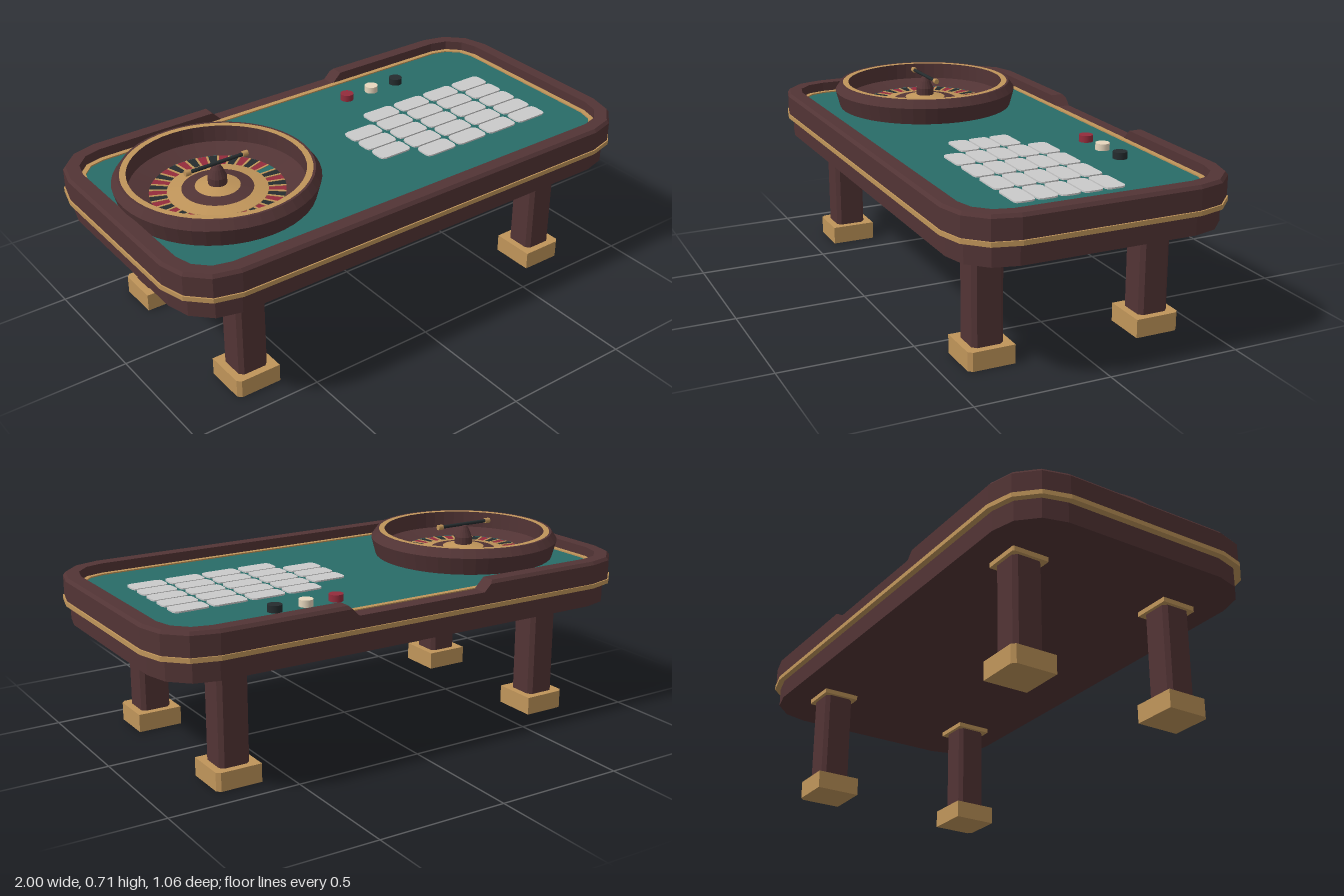
import * as THREE from 'three';
import { mergeGeometries } from 'three/addons/utils/BufferGeometryUtils.js';

const mat = (name, color) => Object.assign(new THREE.MeshStandardMaterial({ color }), { name });
const wood = mat('darkWood', 0x523435), gold = mat('gold', 0xc0955a), felt = mat('felt', 0x286c68);
const red = mat('red', 0x942c3c), black = mat('black', 0x252c2e), cream = mat('cream', 0xf0dfc5);
const grey = mat('betGrey', 0xcacaca);

const FELT_Y = 0.58; // height of the playing surface

// Corner-rounded rectangle, counter-clockwise from the corner at +x, -y
function outline(hx, hy, r, seg = 3) {
  const pts = [];
  [[1, -1], [1, 1], [-1, 1], [-1, -1]].forEach(([sx, sy], c) => {
    for (let i = 0; i <= seg; i++) {
      const a = (c - 1 + i / seg) * Math.PI / 2;
      pts.push(new THREE.Vector2(sx * (hx - r) + r * Math.cos(a), sy * (hy - r) + r * Math.sin(a)));
    }
  });
  return pts;
}

// Upright extrusion of a plan shape between two heights
function extrudeUp(shape, y0, y1) {
  const g = new THREE.ExtrudeGeometry(shape, { depth: y1 - y0, bevelEnabled: false });
  return g.rotateX(-Math.PI / 2).translate(0, y0, 0);
}

// Flat slab between two heights, with an optional inner opening
function slab(hx, hz, r, y0, y1, { seg = 3, hole = null } = {}) {
  const shape = new THREE.Shape(outline(hx, hz, r, seg));
  if (hole) shape.holes.push(new THREE.Path(outline(...hole, seg)));
  return extrudeUp(shape, y0, y1);
}

// Square block with only its outer corner cut; sx and sz give that corner's side
function cornerBlock(h, cut, sx, sz, y0, y1) {
  const pts = [[-h, -h], [h, -h], [h, h - cut], [h - cut, h], [-h, h]]
    .map(([x, z]) => new THREE.Vector2(sx * x, -sz * z));
  return extrudeUp(new THREE.Shape(pts), y0, y1);
}

// Faceted turned part from [radius, height] points
function turned(points, seg = 48) {
  const g = new THREE.LatheGeometry(points.map(p => new THREE.Vector2(...p)), seg).toNonIndexed();
  g.computeVertexNormals();
  return g;
}

// Raised rail swept round the table, with a sloped opening at the back for the dealer
function railGeometry(hx, hz, r) {
  const section = [[0, 0.535], [0, FELT_Y], [0, 0.608], [0.01, 0.62], [0.06, 0.62], [0.06, FELT_Y], [0.06, 0.535]];
  const loops = section.map(([d, y]) => {
    const gap = 0.27 + Math.max(0, y - FELT_Y);
    const path = outline(hx - d, hz - d, r - d).map(p => [p.x, y, p.y]);
    return [[gap, y, d - hz], ...path, [-gap, y, d - hz]];
  });
  const pos = [], n = section.length, last = loops[0].length - 1;
  const tri = (a, b, c) => pos.push(...a, ...b, ...c);
  for (let j = 0; j < n; j++) {
    const A = loops[j], B = loops[(j + 1) % n];
    for (let i = 0; i < last; i++) {
      tri(A[i], B[i], B[i + 1]);
      tri(A[i], B[i + 1], A[i + 1]);
    }
  }
  // Sloped end faces
  for (let k = 2; k < n - 2; k++) {
    tri(loops[1][0], loops[k + 1][0], loops[k][0]);
    tri(loops[1][last], loops[k][last], loops[k + 1][last]);
  }
  const g = new THREE.BufferGeometry();
  g.setAttribute('position', new THREE.Float32BufferAttribute(pos, 3));
  g.computeVertexNormals();
  return g;
}

function add(parent, name, geometry, material, x = 0, y = 0, z = 0) {
  const m = new THREE.Mesh(geometry, material);
  m.name = name;
  m.position.set(x, y, z);
  parent.add(m);
}

function group(parent, name, x = 0, y = 0, z = 0) {
  const g = new THREE.Group();
  g.name = name;
  g.position.set(x, y, z);
  parent.add(g);
  return g;
}

function buildWheel(parent) {
  const wheel = group(parent, 'wheel', -0.572, 0, 0);
  // Bowl
  add(wheel, 'bowlOutside', turned([[0.355, 0.575], [0.374, 0.646], [0.352, 0.677], [0.343, 0.677]]), wood);
  add(wheel, 'bowlRim', turned([[0.343, 0.677], [0.32, 0.677]]), gold);
  add(wheel, 'bowlInside', turned([[0.32, 0.677], [0.32, 0.612], [0.246, 0.59]]), wood);

  // Pockets: one green, the rest alternating, with flat gold dividers
  const count = 37, step = Math.PI * 2 / count;
  const sets = { red: [], black: [], green: [] }, dividers = [];
  for (let i = 0; i < count; i++) {
    const key = i === 0 ? 'green' : i % 2 ? 'red' : 'black';
    sets[key].push(new THREE.RingGeometry(0.18, 0.248, 2, 1, i * step, step)
      .rotateX(-Math.PI / 2).translate(0, 0.588, 0));
    dividers.push(new THREE.BoxGeometry(0.064, 0.004, 0.008).translate(0.214, 0.588, 0).rotateY(i * step));
  }
  add(wheel, 'redPockets', mergeGeometries(sets.red), red);
  add(wheel, 'blackPockets', mergeGeometries(sets.black), black);
  add(wheel, 'greenPocket', mergeGeometries(sets.green), felt);
  add(wheel, 'pocketDividers', mergeGeometries(dividers), gold);

  // Rotor cone and turret
  add(wheel, 'rotorOuterRing', turned([[0.184, 0.582], [0.182, 0.59], [0.13, 0.598]]), gold);
  add(wheel, 'rotorMiddleRing', turned([[0.13, 0.598], [0.082, 0.607]]), wood);
  add(wheel, 'rotorInnerRing', turned([[0.082, 0.607], [0.03, 0.618]]), gold);
  add(wheel, 'turret', turned([[0.035, 0.605], [0.035, 0.645], [0.022, 0.675], [0.013, 0.69], [0, 0.694]], 16), wood);

  // Handle bar with gold tips
  add(wheel, 'handleBar', new THREE.CylinderGeometry(0.007, 0.007, 0.24, 8).rotateZ(Math.PI / 2), black, 0, 0.696, 0);
  for (const s of [-1, 1]) {
    add(wheel, 'handleTip', new THREE.CylinderGeometry(0.011, 0.011, 0.022, 6).rotateZ(Math.PI / 2), gold, s * 0.118, 0.696, 0);
  }
}

export function createModel() {
  const model = new THREE.Group();
  model.name = 'wheelTable';

  // Table body
  add(model, 'apron', slab(0.975, 0.507, 0.18, 0.44, 0.516), wood);
  add(model, 'goldBand', slab(1, 0.529, 0.2, 0.516, 0.533), gold);
  add(model, 'railBase', slab(0.994, 0.524, 0.195, 0.533, FELT_Y, { hole: [0.936, 0.466, 0.137] }), wood);
  add(model, 'rail', railGeometry(0.995, 0.525, 0.195), wood);
  add(model, 'feltTop', slab(0.94, 0.47, 0.14, 0.53, FELT_Y - 0.001), felt);
  add(model, 'feltTrim', slab(0.937, 0.467, 0.138, FELT_Y - 0.003, FELT_Y + 0.004, { hole: [0.916, 0.446, 0.117] }), gold);

  // Legs
  for (const sx of [-1, 1]) for (const sz of [-1, 1]) {
    const leg = group(model, 'leg', sx * 0.686, 0, sz * 0.326);
    add(leg, 'foot', cornerBlock(0.0865, 0.014, sx, sz, 0, 0.07), gold);
    add(leg, 'column', slab(0.059, 0.059, 0.015, 0.07, 0.422, { seg: 1 }), wood);
    add(leg, 'legCap', cornerBlock(0.0725, 0.005, sx, sz, 0.422, 0.441), gold);
  }

  buildWheel(model);

  // Betting spaces: a short first column, then four full ones
  const layout = group(model, 'bettingLayout');
  const cell = slab(0.07, 0.039, 0.018, FELT_Y - 0.003, FELT_Y + 0.005, { seg: 2 });
  for (let c = 0; c < 5; c++) for (let r = 0; r < 5; r++) {
    if (c === 0 && (r === 0 || r === 4)) continue;
    add(layout, 'bettingSpace', cell, grey, 0.112 + c * 0.153, 0, -0.126 + r * 0.0855);
  }

  // Chips
  [[red, 0.237], [cream, 0.361], [black, 0.487]].forEach(([m, x]) =>
    add(model, 'chip', new THREE.CylinderGeometry(0.027, 0.027, 0.026, 16), m, x, FELT_Y + 0.012, -0.32));

  return model;
}
